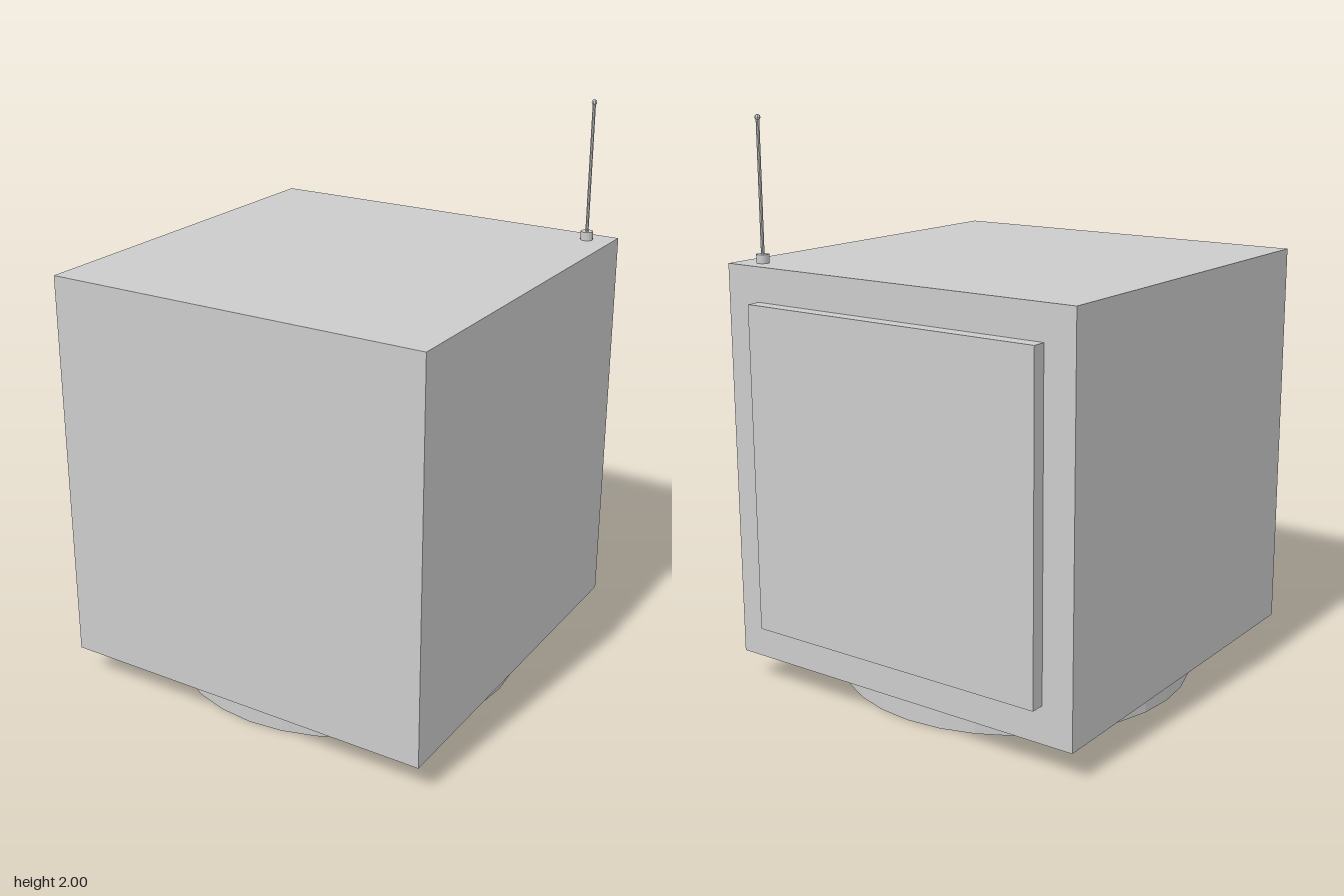
import * as THREE from 'three';

export function createModel() {
  const model = new THREE.Group();
  const material = new THREE.MeshStandardMaterial({ color: 0xcccccc, flatShading: true });

  function add(name, geometry, x, y, z, parent = model) {
    const mesh = new THREE.Mesh(geometry, material);
    mesh.name = name;
    mesh.position.set(x, y, z);
    parent.add(mesh);
    return mesh;
  }

  // Cubic housing standing on a round foot
  add('housing', new THREE.BoxGeometry(1.396, 1.4, 1.396), 0, 0.805, 0.025);
  add('base', new THREE.CylinderGeometry(0.637, 0.637, 0.105, 32), 0, 0.0525, 0.025);

  // Raised square panel on the back
  add('backPanel', new THREE.BoxGeometry(1.15, 1.15, 0.06), -0.01, 0.81, -0.693);

  // Antenna at the rear left corner of the top: socket, rod and tip
  const antenna = new THREE.Group();
  antenna.name = 'antenna';
  antenna.position.set(0.608, 1.505, -0.6);
  model.add(antenna);
  add('antennaSocket', new THREE.CylinderGeometry(0.022, 0.022, 0.03, 16), 0, 0.015, 0, antenna);
  add('antennaRod', new THREE.CylinderGeometry(0.006, 0.006, 0.46, 8), 0, 0.255, 0, antenna);
  add('antennaTip', new THREE.SphereGeometry(0.01, 8, 6), 0, 0.485, 0, antenna);

  return model;
}
